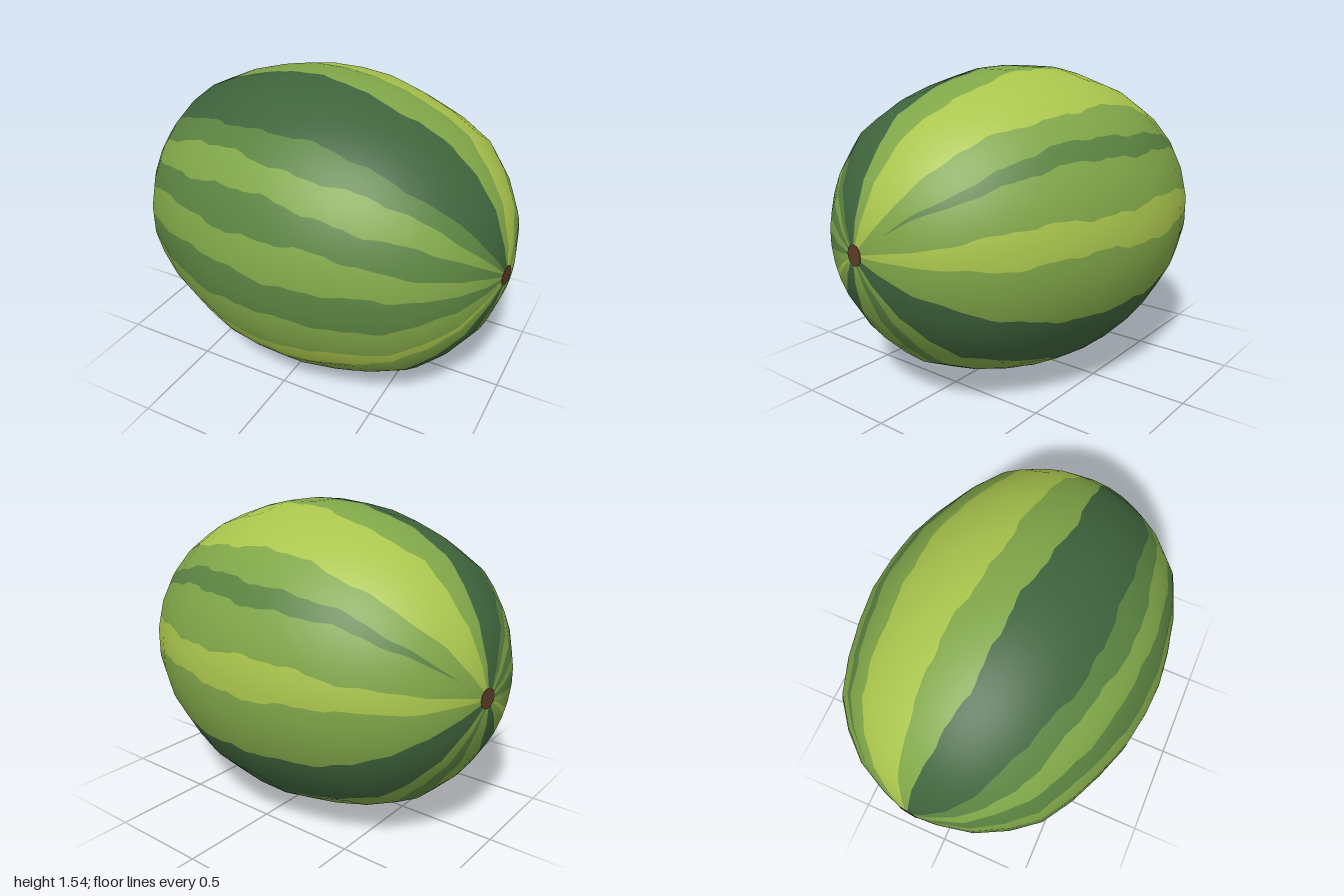
import * as THREE from 'three';

const mat = (name, color) => {
  const m = new THREE.MeshStandardMaterial({ color });
  m.name = name;
  return m;
};
const rind = {
  dark: mat('dark green', 0x3f643c),
  mid: mat('mid green', 0x5b8341),
  light: mat('light green', 0x80a648),
  yellow: mat('yellow green', 0xaac54d),
};
const brown = mat('stalk brown', 0x5a3d26);
const RAD = Math.PI / 180;

// Half profile of the rind: [distance along the axis, radius]
const PROFILE = [[0, 0.777], [0.175, 0.768], [0.35, 0.728], [0.53, 0.671], [0.7, 0.59],
  [0.82, 0.472], [0.92, 0.328], [0.98, 0.155], [1.002, 0.045]];
const RINGS = [...PROFILE.slice(1).reverse().map(([s, r]) => [-s, r]), ...PROFILE];

// Stripes around the axis: start angle in degrees (0 front, 90 top) and colour
const STRIPES = [
  [-50.5, 'light'], [-35, 'yellow'], [-27, 'light'], [-10, 'mid'], [5, 'light'], [18.5, 'mid'],
  [31.5, 'light'], [43.5, 'mid'], [54, 'dark'], [85, 'light'], [101, 'yellow'], [129, 'light'],
  [141, 'mid'], [149, 'light'], [167, 'yellow'], [180, 'light'], [204, 'dark'], [232, 'light'],
  [246, 'mid'], [259, 'light'], [284, 'dark'],
];

// Wavy stripe edge; the thin stripe at the back tapers out before the ends
function edge(i, s) {
  const n = STRIPES.length, k = i % n;
  let a = STRIPES[k][0] + (i >= n ? 360 : 0);
  if (k === 12 || k === 13) a = 145 + (a - 145) * Math.sqrt(Math.max(0, 1 - (s / 0.96) ** 2));
  const seed = k === 13 ? 12 : k;
  return a + 1.1 * Math.sin(7 * s + seed * 2.3) + 0.6 * Math.sin(21 * s + seed * 5.1)
    + 0.35 * Math.sin(47 * s + seed * 3.7);
}

// Rings subdivided lengthwise so that the edges can wave
const SUB = 4;
const rows = [];
for (let i = 0; i < RINGS.length - 1; i++) {
  for (let j = 0; j < SUB; j++) {
    const t = j / SUB;
    rows.push([0, 1].map((c) => RINGS[i][c] * (1 - t) + RINGS[i + 1][c] * t));
  }
}
rows.push(RINGS[RINGS.length - 1]);

// One stripe as a strip of the 24-sided body with smooth normals
function stripeGeometry(i) {
  const end = i + 1 < STRIPES.length ? STRIPES[i + 1][0] : STRIPES[0][0] + 360;
  const cols = Math.ceil((end - STRIPES[i][0]) / 2.5);
  const pos = [], nor = [], idx = [];
  rows.forEach(([s, r], j) => {
    const a0 = edge(i, s), a1 = edge(i + 1, s);
    for (let c = 0; c <= cols; c++) {
      const deg = a0 + (a1 - a0) * c / cols;
      const a = deg * RAD;
      const off = (deg - Math.round(deg / 15) * 15) * RAD;
      const rad = r * Math.cos(7.5 * RAD) / Math.cos(off);
      pos.push(s, rad * Math.sin(a), rad * Math.cos(a));
      const n = new THREE.Vector3(s, r / 0.6 * Math.sin(a), r / 0.6 * Math.cos(a)).normalize();
      nor.push(n.x, n.y, n.z);
      if (j && c) {
        const d = j * (cols + 1) + c, b = d - cols - 1;
        idx.push(b - 1, d - 1, d, b - 1, d, b);
      }
    }
  });
  const g = new THREE.BufferGeometry();
  g.setAttribute('position', new THREE.Float32BufferAttribute(pos, 3));
  g.setAttribute('normal', new THREE.Float32BufferAttribute(nor, 3));
  g.setIndex(idx);
  return g;
}

export function createModel() {
  const model = new THREE.Group();
  model.name = 'watermelon';
  const fruit = new THREE.Group();
  fruit.name = 'fruit';
  fruit.position.y = 0.77;
  fruit.rotation.y = -7.2 * RAD;
  model.add(fruit);

  // Striped rind
  STRIPES.forEach(([, colour], i) => {
    const m = new THREE.Mesh(stripeGeometry(i), rind[colour]);
    m.name = `${colour}Stripe${i + 1}`;
    fruit.add(m);
  });

  // Round stalk scars at both ends
  for (const side of [1, -1]) {
    const scar = new THREE.Mesh(new THREE.CylinderGeometry(0.05, 0.05, 0.009, 12), brown);
    scar.name = side > 0 ? 'leftStalkScar' : 'rightStalkScar';
    scar.rotation.z = -side * Math.PI / 2;
    scar.position.x = side * 0.999;
    fruit.add(scar);
  }
  return model;
}
